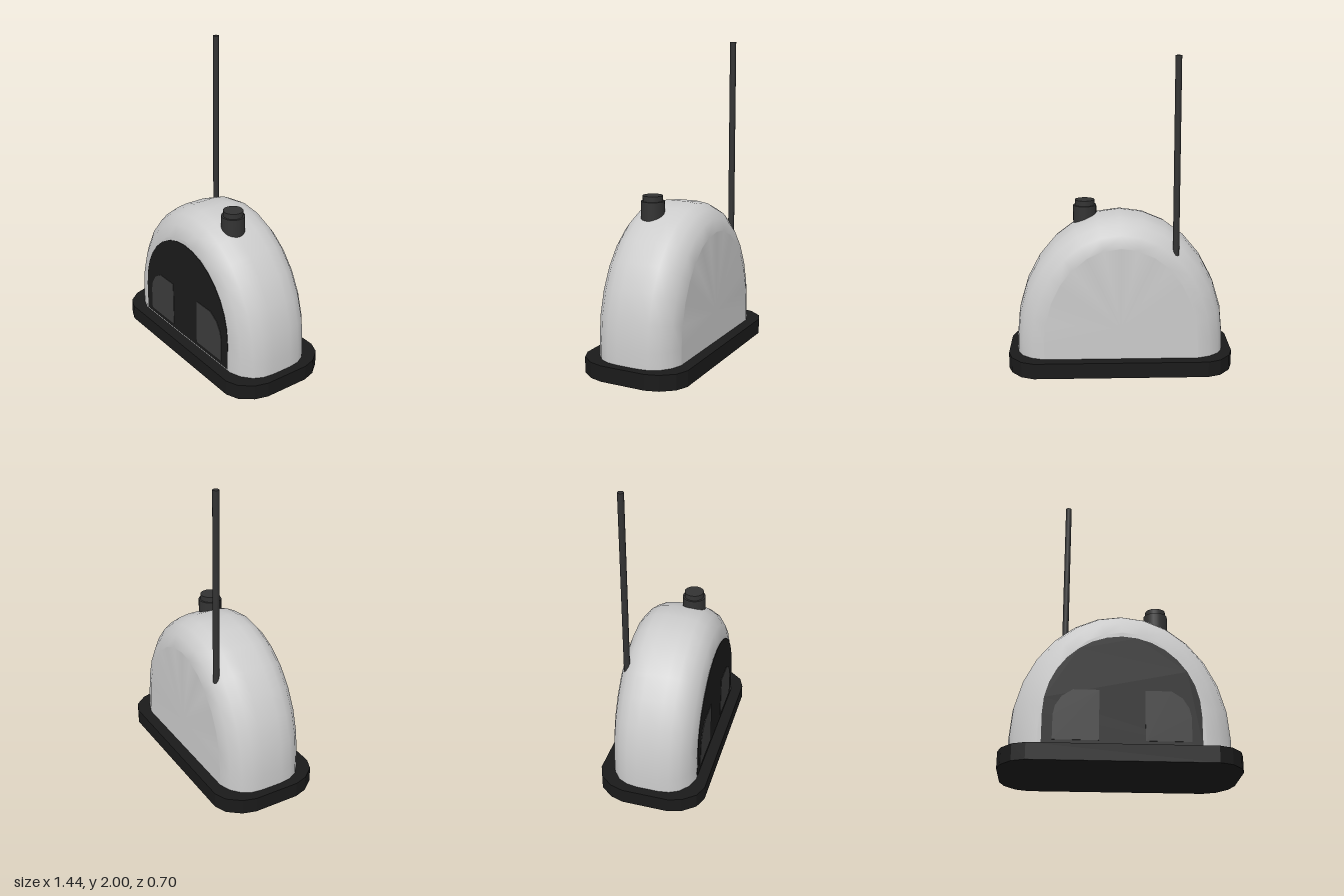
import * as THREE from 'three';
import { toCreasedNormals } from 'three/addons/utils/BufferGeometryUtils.js';

const material = (color) => new THREE.MeshStandardMaterial({ color });
const black = material(0x1a1a1a);
const charcoal = material(0x333333);
const glass = material(0x3c3c3c);
const grey = material(0xcccccc);

// Closed arch outline: straight legs from the bottom, half ellipse above
function archPoints(a, b, bottom, spring, segments) {
  const points = [[a, bottom]];
  for (let i = 0; i <= segments; i++) {
    const t = (Math.PI * i) / segments;
    points.push([a * Math.cos(t), spring + b * Math.sin(t)]);
  }
  points.push([-a, bottom]);
  return points;
}

// Arched shell: outlines shrinking towards the rounded front and back edges
function shellGeometry() {
  const half = [[0, 0.07], [0.01, 0.14], [0.04, 0.2], [0.1, 0.25], [0.175, 0.277], [0.18, 0.277]];
  const sections = [...half.map(([inset, z]) => [inset, -z]).reverse(), ...half];
  const rings = sections.map(([inset, z]) =>
    archPoints(0.665 - inset, 0.8 - inset, 0.1, 0.2, 14).map(([x, y]) => [x, y, z]));
  const count = rings[0].length;
  const centre = (z) => Array.from({ length: count }, () => [0, 0.3, z]);
  rings.unshift(centre(-0.277));
  rings.push(centre(0.277));

  const index = [];
  for (let i = 0; i < rings.length - 1; i++) {
    for (let j = 0; j < count; j++) {
      const k = (j + 1) % count;
      const a = i * count + j, b = i * count + k;
      const c = b + count, d = a + count;
      if (i > 0) index.push(a, b, c === d ? a : (i === rings.length - 2 ? d : c));
      if (i === 0) index.push(a, c, d);
      else if (i < rings.length - 2) index.push(a, c, d);
    }
  }
  const geometry = new THREE.BufferGeometry();
  geometry.setAttribute('position', new THREE.Float32BufferAttribute(rings.flat(2), 3));
  geometry.setIndex(index);
  return toCreasedNormals(geometry, 0.65);
}

function plate(points, depth) {
  const shape = new THREE.Shape(points.map(([x, y]) => new THREE.Vector2(x, y)));
  return new THREE.ExtrudeGeometry(shape, { depth, bevelEnabled: false });
}

export function createModel() {
  const model = new THREE.Group();
  const add = (name, geometry, mat, x = 0, y = 0, z = 0) => {
    const mesh = new THREE.Mesh(geometry, mat);
    mesh.name = name;
    mesh.position.set(x, y, z);
    model.add(mesh);
    return mesh;
  };

  // Base slab with faceted corners
  const corner = [[0.72, 0.15], [0.695, 0.235], [0.63, 0.317], [0.55, 0.35]];
  const flip = (sx, sy) => corner.map(([x, y]) => [sx * x, sy * y]);
  const outline = [...flip(1, 1), ...flip(-1, 1).reverse(), ...flip(-1, -1), ...flip(1, -1).reverse()];
  add('base', plate(outline, 0.1).rotateX(-Math.PI / 2), black);

  add('shell', shellGeometry(), grey);

  // Dark arched front with two windows
  add('frontPanel', plate(archPoints(0.467, 0.495, 0.11, 0.3, 16), 0.02), black, 0, 0, 0.26);
  const pane = [[0.135, 0.14], [0.405, 0.14], [0.405, 0.29], [0.393, 0.345],
    [0.355, 0.405], [0.29, 0.447], [0.135, 0.447]];
  add('leftWindow', plate(pane, 0.01), glass, 0, 0, 0.273);
  add('rightWindow', plate(pane.map(([x, y]) => [-x, y]).reverse(), 0.01), glass, 0, 0, 0.273);

  // Stepped cap and antenna on the roof
  add('capBody', new THREE.CylinderGeometry(0.075, 0.075, 0.18, 24), charcoal, 0.225, 0.94, 0.06);
  add('capTop', new THREE.CylinderGeometry(0.063, 0.063, 0.06, 24), charcoal, 0.225, 1.035, 0.06);
  add('antenna', new THREE.CylinderGeometry(0.02, 0.02, 1.3, 12), charcoal, -0.345, 1.35, -0.222);

  return model;
}
